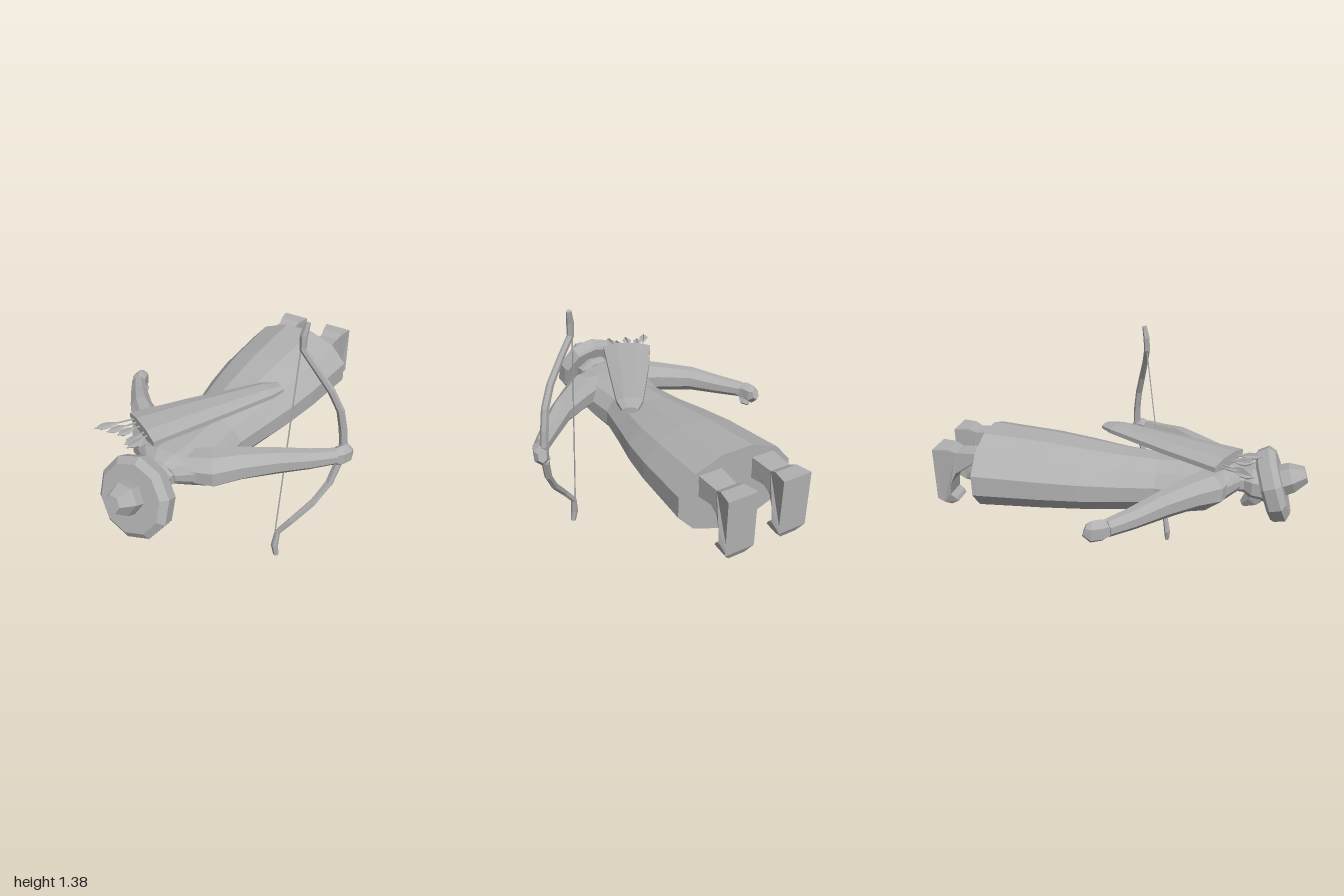
import * as THREE from 'three';

const V = (x, y, z) => new THREE.Vector3(x, y, z);
const CX = -0.02; // body centre line

export function createModel() {
  const model = new THREE.Group();
  model.name = 'lyingArcher';
  const grey = new THREE.MeshStandardMaterial({ color: 0xb0b0b0 });
  grey.name = 'plain grey';

  // Adds a faceted mesh
  const add = (name, geo, parent = model) => {
    const flat = geo.index ? geo.toNonIndexed() : geo;
    flat.computeVertexNormals();
    const mesh = new THREE.Mesh(flat, grey);
    mesh.name = name;
    parent.add(mesh);
    return mesh;
  };

  // Closed loft through elliptical rings [x, y, z, sideRadius, upRadius]
  const loft = (rings, sides, { axis = null, up = V(0, 1, 0), phase = 0.5 } = {}) => {
    const pos = [], idx = [], n = rings.length;
    const c = rings.map(r => V(r[0], r[1], r[2]));
    rings.forEach((r, i) => {
      const t = axis ? axis.clone() : c[Math.min(i + 1, n - 1)].clone().sub(c[Math.max(i - 1, 0)]);
      t.normalize();
      const u = up.clone().cross(t).normalize(), v = t.clone().cross(u);
      for (let j = 0; j < sides; j++) {
        const a = (j + phase) / sides * Math.PI * 2;
        const p = c[i].clone().addScaledVector(u, Math.cos(a) * r[3]).addScaledVector(v, Math.sin(a) * r[4]);
        pos.push(p.x, p.y, p.z);
      }
    });
    for (let i = 0; i < n - 1; i++) for (let j = 0; j < sides; j++) {
      const k = (j + 1) % sides, a = i * sides, b = a + sides;
      idx.push(a + j, a + k, b + j, a + k, b + k, b + j);
    }
    pos.push(...c[0].toArray(), ...c[n - 1].toArray());
    const s = n * sides, last = (n - 1) * sides;
    for (let j = 0; j < sides; j++) {
      const k = (j + 1) % sides;
      idx.push(s, k, j, s + 1, last + j, last + k);
    }
    const g = new THREE.BufferGeometry();
    g.setAttribute('position', new THREE.Float32BufferAttribute(pos, 3));
    g.setIndex(idx);
    return g;
  };
  const Z = V(0, 0, 1);

  // Robe, from the hem up to the shoulders
  add('robe', loft([
    [CX, 0.67, -0.755, 0.33, 0.215],
    [CX, 0.66, -0.4, 0.305, 0.195],
    [CX, 0.65, -0.2, 0.275, 0.18],
    [CX, 0.64, 0.0, 0.23, 0.165],
    [CX, 0.64, 0.2, 0.195, 0.15],
    [CX, 0.645, 0.36, 0.215, 0.15],
    [CX, 0.66, 0.47, 0.23, 0.135],
    [CX, 0.70, 0.58, 0.19, 0.09],
    [CX, 0.70, 0.64, 0.10, 0.06],
  ], 12, { axis: Z }));

  // Head and neck, with a pointed chin
  add('head', loft([
    [CX, 0.70, 0.57, 0.11, 0.07],
    [CX, 0.69, 0.66, 0.09, 0.07],
    [CX, 0.68, 0.70, 0.115, 0.09],
    [CX, 0.67, 0.80, 0.12, 0.1],
  ], 8, { axis: Z }));
  add('chin', loft([
    [CX, 0.65, 0.75, 0.085, 0.07],
    [CX, 0.58, 0.71, 0.065, 0.05],
    [CX, 0.54, 0.66, 0.025, 0.02],
  ], 6));

  // Tilted round hat with a knob
  const tilt = V(0, 0.32, 0.95).normalize();
  const along = (d, r, y = 0) => [CX, 0.67 + y + tilt.y * d, 0.81 + tilt.z * d, r, r];
  add('hatBrim', loft([along(-0.05, 0.185), along(-0.035, 0.2), along(0.025, 0.208), along(0.055, 0.175)],
    10, { axis: tilt }));
  add('hatKnob', loft([along(0.04, 0.085, 0.01), along(0.10, 0.08, 0.015), along(0.175, 0.045, 0.015)],
    6, { axis: tilt, phase: 0 }));

  // Arms, mirrored, with fists and thumbs
  for (const side of [1, -1]) {
    const arm = new THREE.Group();
    arm.name = side > 0 ? 'leftArm' : 'rightArm';
    model.add(arm);
    const at = (x, y, z, w, h) => [side * x - 0.01, y, z, w, h];
    add('sleeve', loft([
      at(0.07, 0.70, 0.52, 0.10, 0.08),
      at(0.19, 0.70, 0.47, 0.11, 0.095),
      at(0.29, 0.71, 0.38, 0.088, 0.082),
      at(0.43, 0.71, 0.265, 0.062, 0.07),
      at(0.55, 0.69, 0.14, 0.05, 0.055),
      at(0.64, 0.68, 0.04, 0.04, 0.045),
    ], 8), arm);
    add('hand', loft([
      at(0.625, 0.68, 0.055, 0.035, 0.04),
      at(0.655, 0.675, 0.015, 0.045, 0.058),
      at(0.67, 0.67, -0.03, 0.042, 0.058),
      at(0.675, 0.68, -0.06, 0.025, 0.035),
    ], 6), arm);
    add('thumb', loft([
      at(0.645, 0.65, 0.03, 0.025, 0.022),
      at(0.63, 0.62, -0.005, 0.022, 0.02),
      at(0.645, 0.615, -0.035, 0.014, 0.012),
    ], 5), arm);
  }

  // Legs with boots: side outline in z and y, width set by z
  const outline = [[-0.70, 0.81], [-0.88, 0.80], [-0.92, 0.82], [-1, 0.82], [-1, 0.53], [-0.98, 0.49],
    [-0.94, 0.48], [-0.89, 0.51], [-0.90, 0.53], [-0.93, 0.55], [-0.92, 0.62], [-0.89, 0.68],
    [-0.84, 0.70], [-0.70, 0.69]];
  for (const x of [0.13, -0.17]) {
    const geo = new THREE.ExtrudeGeometry(new THREE.Shape(outline.map(p => new THREE.Vector2(...p))),
      { depth: 2, bevelEnabled: false });
    geo.translate(0, 0, -1).rotateY(-Math.PI / 2);
    const p = geo.attributes.position;
    for (let i = 0; i < p.count; i++) {
      const z = p.getZ(i), y = p.getY(i);
      let w = z < -0.86 ? 0.05 + (-0.86 - z) * 0.21 : 0.05 + (z + 0.86) * 0.1;
      if (y < 0.5) w *= 0.6;
      p.setX(i, x + p.getX(i) * w);
    }
    add(x > 0 ? 'leftLeg' : 'rightLeg', geo);
  }

  // Flat quiver slung across the back
  add('quiver', loft([
    [0.2, 0.852, -0.135, 0.045, 0.018],
    [0.16, 0.855, -0.06, 0.075, 0.03],
    [-0.03, 0.855, 0.30, 0.125, 0.034],
    [-0.17, 0.855, 0.575, 0.155, 0.034],
  ], 8));

  // Arrows: thin shafts with crossed diamond fletching
  const tips = [[-0.36, 0.86, 0.70], [-0.30, 0.85, 0.68], [-0.22, 0.87, 0.69], [-0.16, 0.85, 0.71], [-0.12, 0.865, 0.74]];
  tips.forEach(([x, y, z], i) => {
    const arrow = new THREE.Group();
    arrow.name = 'arrow';
    model.add(arrow);
    const base = [-0.24 + i * 0.035, 0.855, 0.5];
    add('shaft', loft([[...base, 0.005, 0.005], [x, y, z, 0.004, 0.004]], 4), arrow);
    const mix = (f, a, b) => [...base.map((v, k) => v + ([x, y, z][k] - v) * f), a, b];
    for (const [a, b] of [[0.026, 0.004], [0.004, 0.02]])
      add('fletching', loft([mix(0.5, 0.004, 0.004), mix(0.72, a, b), mix(0.85, a, b), mix(0.97, 0.003, 0.003)],
        4, { phase: 0 }), arrow);
  });

  // Bow and string
  const bow = new THREE.Group();
  bow.name = 'bow';
  model.add(bow);
  const limb = [
    [0.412, 0.005, 0.21, 0.015], [0.40, 0.07, 0.21, 0.021], [0.407, 0.16, 0.195, 0.017],
    [0.47, 0.25, 0.165, 0.018], [0.555, 0.37, 0.095, 0.02], [0.61, 0.49, 0.03, 0.021],
    [0.635, 0.62, -0.012, 0.022], [0.64, 0.72, -0.03, 0.023], [0.63, 0.81, -0.028, 0.022],
    [0.612, 0.92, -0.015, 0.021], [0.565, 1.03, 0.01, 0.02], [0.485, 1.15, 0.04, 0.018],
    [0.422, 1.24, 0.058, 0.018], [0.42, 1.31, 0.055, 0.02], [0.43, 1.375, 0.04, 0.014],
  ];
  add('bowLimb', loft(limb.map(([x, y, z, r]) => [x, y, z, r, r * 0.9]), 6, { up: Z }), bow);
  add('bowString', loft([[0.395, 0.16, 0.2, 0.004, 0.004], [0.411, 1.23, 0.06, 0.004, 0.004]], 4, { up: Z }), bow);

  return model;
}
